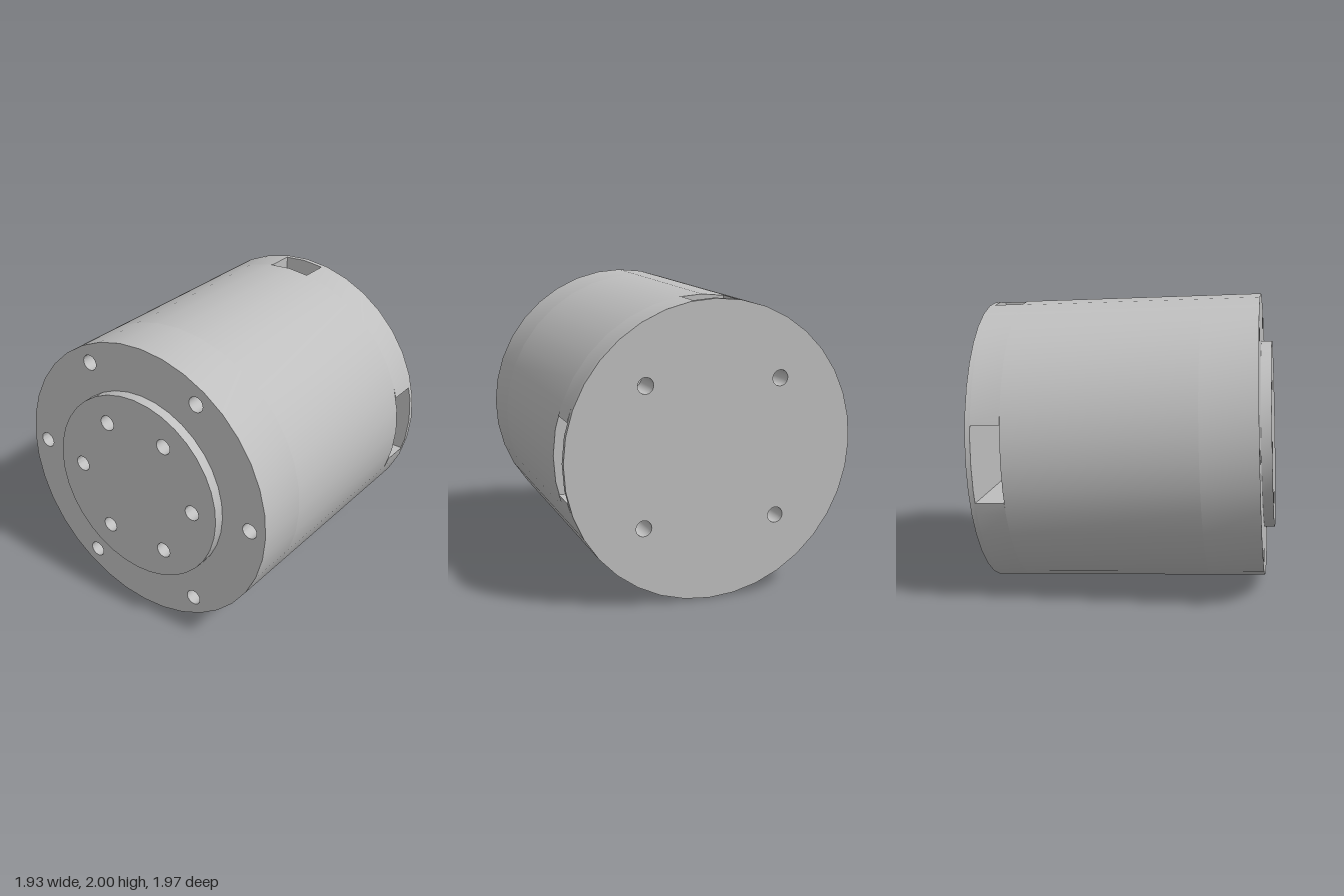
import * as THREE from 'three';
import { toCreasedNormals } from 'three/addons/utils/BufferGeometryUtils.js';

const R = 0.963;          // body radius
const HOLE = 0.052;       // screw hole radius
const STEP = Math.PI / 18; // one facet of the body

// Points along a circle, falling on the shared facet corners between the two ends
function arc(radius, a0, a1) {
  const angles = [a0];
  for (let k = Math.floor(a0 / STEP) + 1; k * STEP < a1 - 1e-4; k++) {
    if (k * STEP > a0 + 1e-4) angles.push(k * STEP);
  }
  angles.push(a1);
  return angles.map(a => new THREE.Vector2(radius * Math.cos(a), radius * Math.sin(a)));
}

const disc = radius => new THREE.Shape(arc(radius, 0, 2 * Math.PI).slice(0, -1));

function drill(shape, centres) {
  for (const [x, y] of centres) {
    shape.holes.push(new THREE.Path().absarc(x, y, HOLE, 0, 2 * Math.PI, true));
  }
  return shape;
}

// Six hole centres evenly spaced on a ring
const ring = radius => Array.from({ length: 6 }, (_, i) =>
  [radius * Math.cos(i * Math.PI / 3), radius * Math.sin(i * Math.PI / 3)]);

export function createModel() {
  const model = new THREE.Group();
  model.name = 'motorHousing';
  const grey = new THREE.MeshStandardMaterial({ color: 0xbfbfbf });
  grey.name = 'plain grey';

  const housing = new THREE.Group();
  housing.name = 'tiltedHousing';
  housing.position.set(0, 1, -0.025);
  housing.rotation.x = -0.041;
  model.add(housing);

  // Slice of the housing between two positions along its axis
  function slice(name, shapes, z0, z1) {
    const geo = new THREE.ExtrudeGeometry(shapes, { depth: z1 - z0, bevelEnabled: false, curveSegments: 16 });
    geo.translate(0, 0, z0);
    const mesh = new THREE.Mesh(toCreasedNormals(geo, 0.6), grey);
    mesh.name = name;
    housing.add(mesh);
  }

  const rear = -0.918, slotRear = -0.884, slotFront = -0.694;
  const holeFloor = 0.55, front = 0.918, bossFront = 0.988;
  const h = 0.45;         // rear hole offset
  const slotY = 0.25, slotX = 0.145;

  // Rear plate with four holes
  slice('rearPlate', drill(disc(R), [[h, h], [-h, h], [h, -h], [-h, -h]]), rear, slotRear);

  // Solid blocks around the cross slot, which opens left, right and on top
  const aSide = Math.asin(slotY / R), aTop = Math.acos(slotX / R);
  const corner = new THREE.Vector2(slotX, slotY);
  const leftPts = [corner, ...arc(R, aSide, aTop)];
  const rightPts = leftPts.map(p => new THREE.Vector2(-p.x, p.y)).reverse();
  slice('slotBlockLeft', drill(new THREE.Shape(leftPts), [[h, h]]), slotRear, slotFront);
  slice('slotBlockRight', drill(new THREE.Shape(rightPts), [[-h, h]]), slotRear, slotFront);
  const lower = new THREE.Shape(arc(R, Math.PI + aSide, 2 * Math.PI - aSide));
  slice('slotBlockBottom', drill(lower, [[h, -h], [-h, -h]]), slotRear, slotFront);

  // Main body, then the drilled front part and the round boss
  slice('mainBody', disc(R), slotFront, holeFloor);
  slice('frontBody', drill(disc(R), [...ring(0.845), ...ring(0.455)]), holeFloor, front);
  slice('frontBoss', drill(disc(0.64), ring(0.455)), front, bossFront);

  return model;
}
